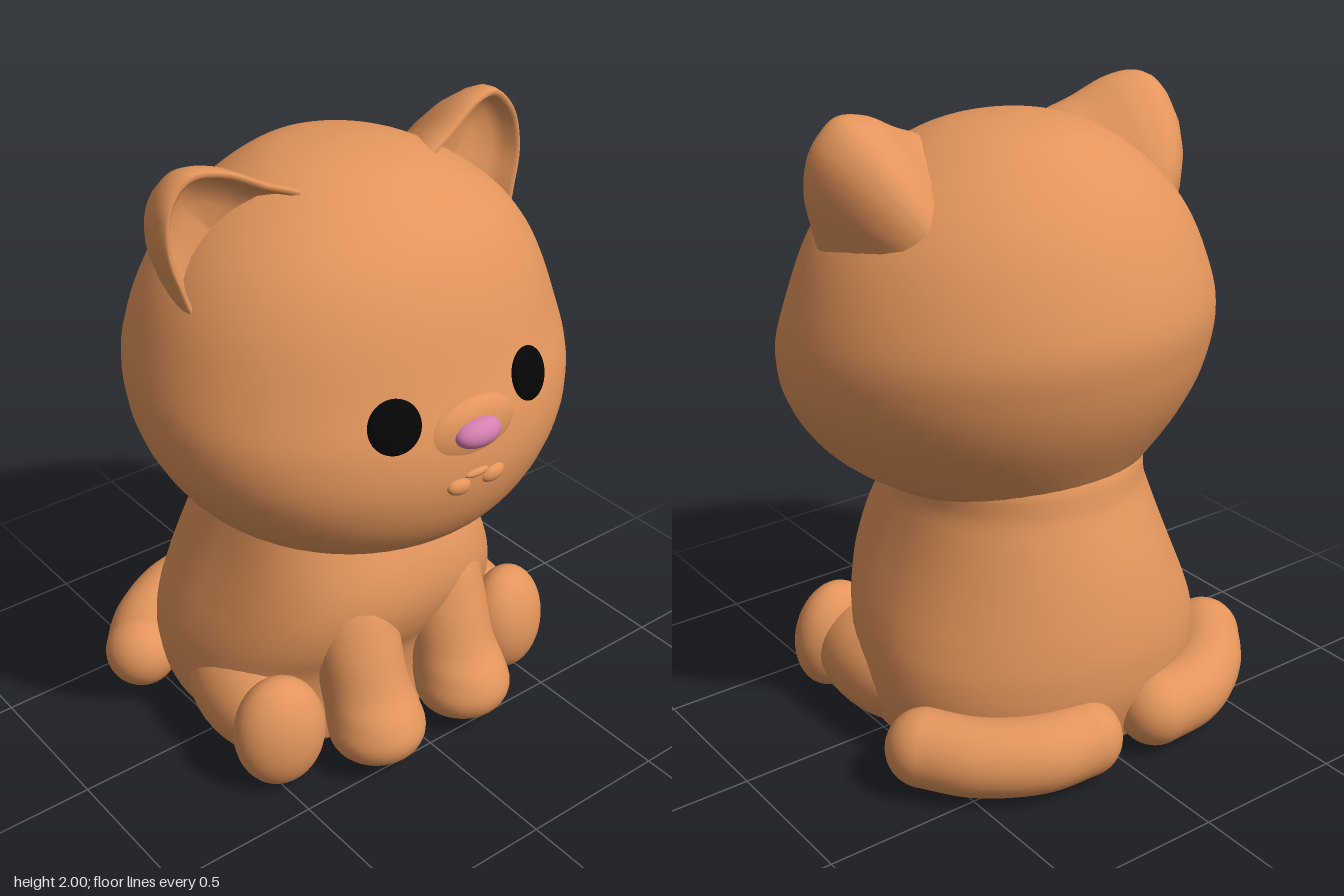
import * as THREE from 'three';

const mat = (name, color) => {
  const m = new THREE.MeshStandardMaterial({ color });
  m.name = name;
  return m;
};

// Smooth skin through closed loops of points, each loop clockwise seen from its leading end
function skin(loops) {
  const n = loops[0].length, pos = [], idx = [];
  loops.forEach(loop => loop.forEach(p => pos.push(...p)));
  for (let i = 0; i < loops.length - 1; i++) {
    for (let j = 0; j < n; j++) {
      const a = i * n + j, b = i * n + (j + 1) % n, c = a + n, d = b + n;
      idx.push(a, c, b, b, c, d);
    }
  }
  const g = new THREE.BufferGeometry();
  g.setAttribute('position', new THREE.Float32BufferAttribute(pos, 3));
  g.setIndex(idx);
  g.computeVertexNormals();
  return g;
}

// Spline through rows of numbers; the end rows are poles and are mirrored for round caps
function splineRows(rows, steps) {
  const flip = ([y, w, zc, hz]) => [y, -w, zc, -hz];
  const all = [flip(rows[1]), ...rows, flip(rows[rows.length - 2])];
  const out = [];
  for (let i = 1; i < all.length - 2; i++) {
    for (let k = 0; k < steps; k++) {
      const t = k / steps;
      out.push(all[i].map((p1, c) => {
        const p0 = all[i - 1][c], p2 = all[i + 1][c], p3 = all[i + 2][c];
        return p1 + 0.5 * t * (p2 - p0 + t * (2 * p0 - 5 * p1 + 4 * p2 - p3 + t * (3 * (p1 - p2) + p3 - p0)));
      }));
    }
  }
  out.push(rows[rows.length - 1]);
  return out;
}

// Rounded cross-sections stacked upwards: [y, half width, front z, back z]
// bow moves the widest points forward, power below 1 squares off the front half
function stacked(rows, { n = 56, bow = 0, power = 1 } = {}) {
  const r = rows.map(([y, w, f, b]) => [y, w, (f + b) / 2, (f - b) / 2]);
  return skin(splineRows(r, 5).map(([y, w, zc, hz]) =>
    Array.from({ length: n }, (_, j) => {
      const a = j / n * Math.PI * 2, c = Math.cos(a), s = Math.sin(a);
      const e = s > 0 ? power : 1;
      return [
        w * Math.sign(c) * Math.abs(c) ** e,
        y,
        zc + hz * Math.sign(s) * Math.abs(s) ** e + bow * w * c * c,
      ];
    })));
}

// Cupped ear: a rounded outline, swelling backwards and hollow in front
function earGeometry(s) {
  const outline = new THREE.CatmullRomCurve3([
    [0.2, 1.86], [0.34, 1.935], [0.46, 1.99], [0.56, 1.995], [0.635, 1.92],
    [0.655, 1.8], [0.63, 1.69], [0.575, 1.57], [0.42, 1.6], [0.27, 1.7],
  ].map(([x, y]) => new THREE.Vector3(x, y, 0)), true).getPoints(60).slice(0, 60);
  const cx = 0.46, cy = 1.79;
  // [scale, z offset, slide towards the head]
  const rows = [
    [0, -0.33, 0.15], [0.25, -0.32, 0.14], [0.5, -0.285, 0.11], [0.7, -0.23, 0.075], [0.84, -0.165, 0.04],
    [0.94, -0.09, 0.01], [0.985, -0.045, 0], [1, -0.01, 0], [0.985, 0.015, 0], [0.945, 0.022, 0], [0.89, 0.01, 0],
    [0.83, -0.025, 0], [0.7, -0.06, 0], [0.4, -0.08, 0], [0, -0.085, 0],
  ];
  return skin(rows.map(([k, dz, d]) => {
    const loop = outline.map(p => {
      const rim = 0.055 + 0.2 * Math.max(0, 0.6 - p.x) + 0.12 * (1.95 - p.y);
      const z = THREE.MathUtils.lerp(0.09, rim, k) + dz;
      return [s * (cx + (p.x - cx) * k - d * 0.4), cy + (p.y - cy) * k - d, z];
    });
    return s < 0 ? loop.reverse() : loop;
  }));
}

export function createModel() {
  const fur = mat('orangeFur', 0xe3955b);
  const black = mat('eyeBlack', 0x060606);
  const pink = mat('nosePink', 0xd67fb0);
  const model = new THREE.Group();
  model.name = 'kitten';

  const add = (name, geometry, material = fur) => {
    const m = new THREE.Mesh(geometry, material);
    m.name = name;
    model.add(m);
    return m;
  };
  const blob = (name, p, r, material = fur, rot = [0, 0, 0]) => {
    const m = add(name, new THREE.SphereGeometry(1, 36, 24), material);
    m.position.set(...p);
    m.scale.set(...r);
    m.rotation.set(...rot, 'YXZ');
    return m;
  };

  // Head
  add('head', stacked([
    [0.75, 0, 0.03, 0.03], [0.768, 0.27, 0.35, -0.26], [0.845, 0.45, 0.53, -0.39],
    [0.95, 0.58, 0.62, -0.465], [1.1, 0.675, 0.665, -0.545], [1.25, 0.71, 0.655, -0.59],
    [1.4, 0.69, 0.605, -0.6], [1.6, 0.615, 0.535, -0.53], [1.75, 0.5, 0.445, -0.435],
    [1.87, 0.33, 0.3, -0.31], [1.93, 0.18, 0.16, -0.19], [1.95, 0, -0.01, -0.01],
  ], { bow: 0.05 }));

  // Body with a full chest and a flat underside
  add('body', stacked([
    [0.005, 0, -0.1, -0.1], [0.005, 0.25, 0.14, -0.3], [0.012, 0.46, 0.31, -0.5],
    [0.07, 0.53, 0.34, -0.56], [0.2, 0.565, 0.345, -0.6], [0.32, 0.56, 0.365, -0.605],
    [0.42, 0.535, 0.41, -0.595], [0.53, 0.495, 0.435, -0.57], [0.65, 0.45, 0.42, -0.53],
    [0.8, 0.4, 0.355, -0.465], [0.95, 0.36, 0.28, -0.39], [1.0, 0, 0, 0],
  ], { power: 0.76 }));

  // Nose on a soft bridge
  blob('noseBridge', [0, 1.25, 0.61], [0.17, 0.12, 0.058], fur, [0.1, 0, 0]);
  blob('nose', [-0.012, 1.277, 0.664], [0.08, 0.045, 0.046], pink);
  blob('mouthMiddle', [-0.008, 1.142, 0.662], [0.045, 0.014, 0.016]);

  for (const s of [1, -1]) {
    const side = s > 0 ? 'left' : 'right';

    add(side + 'Ear', earGeometry(s));
    blob(side + 'Eye', [s * 0.252 - 0.007, 1.347, 0.592], [0.081, 0.081, 0.026], black, [-0.3, s * 0.3, 0]);
    blob(side + 'MouthCorner', [s * 0.064 - 0.008, 1.115, 0.66], [0.043, 0.027, 0.022], fur, [0, 0, s * 0.15]);

    // Front leg and paw, sinking into the chest
    add(side + 'FrontLeg', stacked([
      [0.055, 0, 0.44, 0.44], [0.058, 0.09, 0.53, 0.35], [0.09, 0.142, 0.58, 0.3],
      [0.15, 0.158, 0.6, 0.28], [0.22, 0.148, 0.575, 0.25], [0.3, 0.142, 0.515, 0.22],
      [0.45, 0.145, 0.46, 0.18], [0.58, 0.14, 0.41, 0.12], [0.7, 0.1, 0.33, 0.1], [0.76, 0, 0.2, 0.2],
    ], { n: 36 })).position.x = s * 0.182;

    // Hind leg and upturned foot
    blob(side + 'HindLeg', [s * 0.41, 0.182, 0.08], [0.19, 0.18, 0.3], fur, [0, s * 0.15, 0]);
    blob(side + 'HindFoot', [s * 0.48, 0.195, 0.325], [0.15, 0.19, 0.11], fur, [-0.1, s * 0.25, 0]);

    // Curled tail half with rounded ends
    const path = new THREE.CatmullRomCurve3([
      [0.145, 0.135, -0.585], [0.3, 0.13, -0.565], [0.465, 0.13, -0.467], [0.57, 0.14, -0.345],
    ].map(([x, y, z]) => new THREE.Vector3(s * x, y, z)));
    const r = 0.122;
    add(side + 'Tail', new THREE.TubeGeometry(path, 32, r, 28));
    for (const t of [0, 1]) blob(side + 'TailEnd', path.getPoint(t).toArray(), [r, r, r]);
  }
  return model;
}
